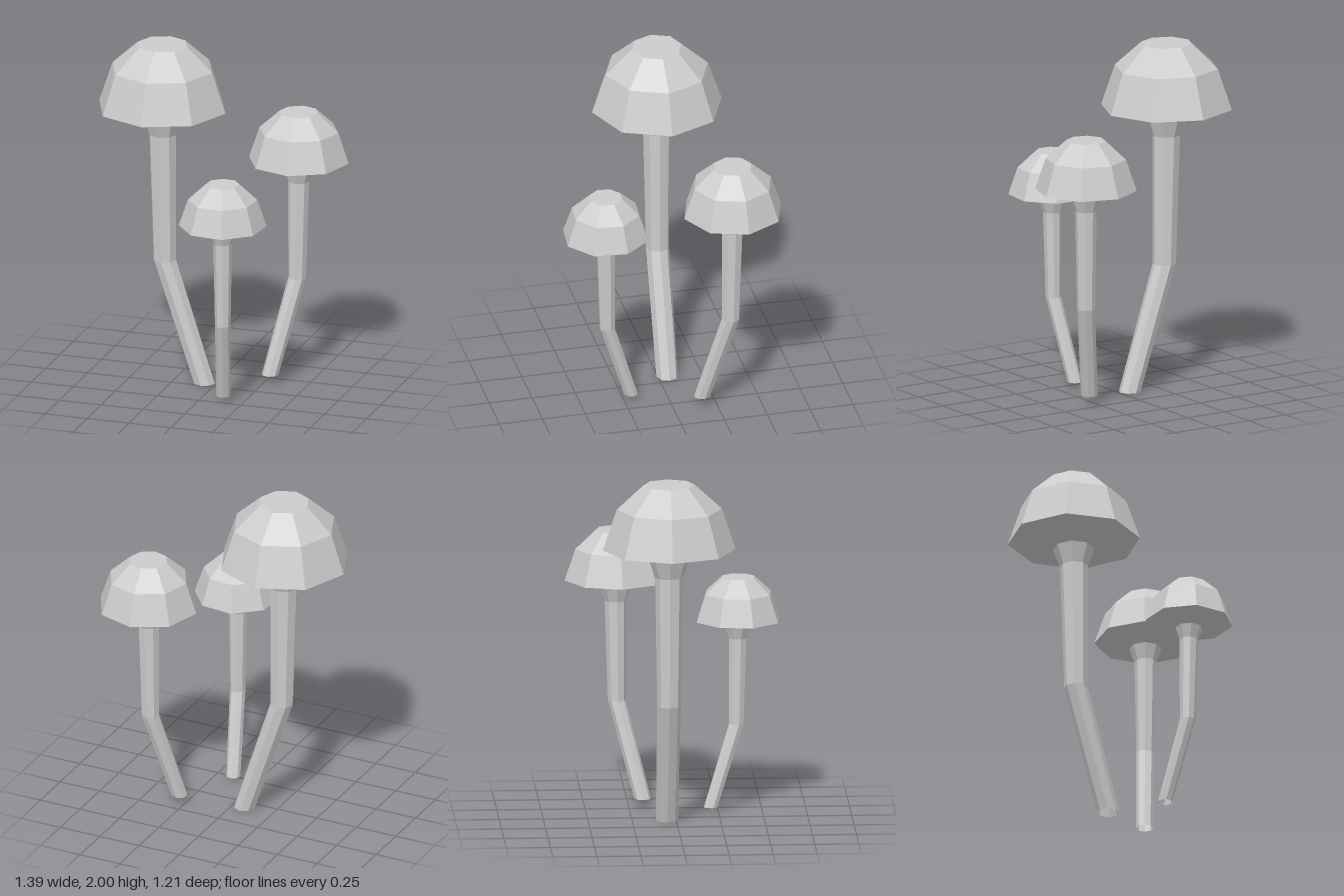
import * as THREE from 'three';

const SIDES = 8;

// Stem rings from the ground up: height, sideways shift, radius
const STEM = [
  [0, 0, 0.062],
  [0.715, -0.235, 0.067],
  [1.465, -0.248, 0.08],
  [1.575, -0.25, 0.119],
];

// Cap profile from the underside to the flat crown: radius, height
const CAP = [[0.119, 1.575], [0.377, 1.625], [0.298, 1.86], [0.146, 2], [0, 2]];

// Open-ended tube whose rings follow the bent stem
function stemGeometry() {
  const rows = STEM.length - 1;
  const geometry = new THREE.CylinderGeometry(1, 1, 1, SIDES, rows, true);
  const { position, uv } = geometry.attributes;
  for (let i = 0; i < position.count; i++) {
    const [y, shift, radius] = STEM[Math.round(uv.getY(i) * rows)];
    position.setXYZ(i, position.getX(i) * radius + shift, y, position.getZ(i) * radius);
  }
  geometry.computeVertexNormals();
  return geometry;
}

function capGeometry() {
  const points = CAP.map(([r, y]) => new THREE.Vector2(r, y));
  return new THREE.LatheGeometry(points, SIDES).translate(-0.25, 0, 0);
}

export function createModel() {
  const grey = new THREE.MeshStandardMaterial({ color: 0xcccccc, flatShading: true, side: THREE.DoubleSide });
  grey.name = 'pale grey';
  const stemShape = stemGeometry();
  const capShape = capGeometry();
  const model = new THREE.Group();
  model.name = 'mushroomCluster';

  // Each mushroom: name, foot position, scale, turn in degrees
  const mushrooms = [
    ['tallMushroom', [-0.07, 0, -0.053], 1, 0],
    ['middleMushroom', [0.284, 0.05, -0.172], 0.768, -129.4],
    ['smallMushroom', [0.132, 0.03, 0.207], 0.661, 107.1],
  ];
  for (const [name, foot, scale, turn] of mushrooms) {
    const mushroom = new THREE.Group();
    mushroom.name = name;
    const stem = new THREE.Mesh(stemShape, grey);
    stem.name = 'stem';
    const cap = new THREE.Mesh(capShape, grey);
    cap.name = 'cap';
    mushroom.add(stem, cap);
    mushroom.position.set(...foot);
    mushroom.scale.setScalar(scale);
    mushroom.rotation.y = THREE.MathUtils.degToRad(turn);
    model.add(mushroom);
  }
  return model;
}
